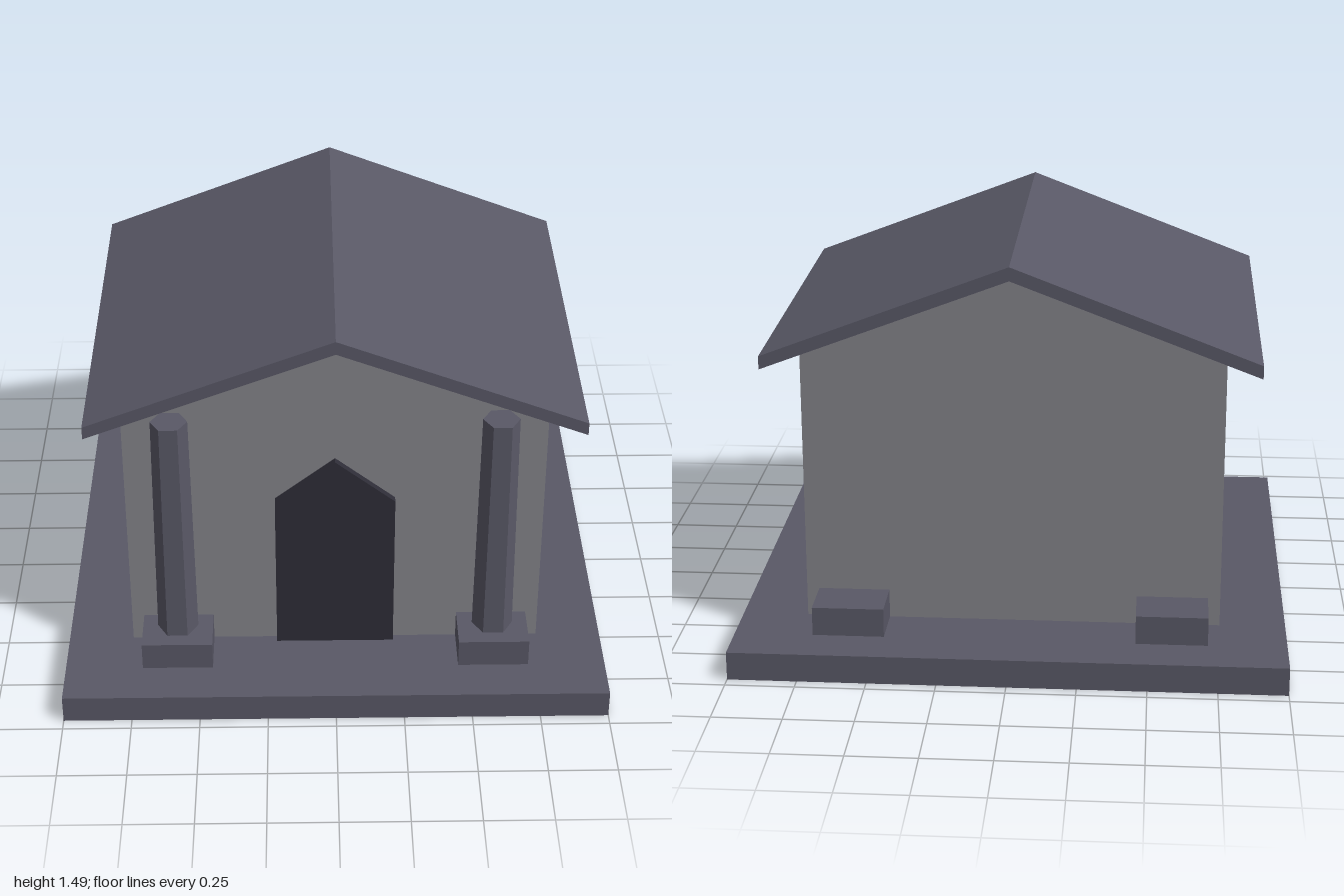
import * as THREE from 'three';

const mat = (name, color) => {
  const m = new THREE.MeshStandardMaterial({ color });
  m.name = name;
  return m;
};

// Extrudes an outline in x/y between two z positions
function prism(points, zBack, zFront) {
  const shape = new THREE.Shape(points.map(([x, y]) => new THREE.Vector2(x, y)));
  const g = new THREE.ExtrudeGeometry(shape, { depth: zFront - zBack, bevelEnabled: false });
  return g.translate(0, 0, zBack);
}

// Pentagonal gable outline: straight sides to the eave, then a pointed top
const gable = (halfWidth, bottom, eave, apex) => [
  [-halfWidth, bottom], [halfWidth, bottom], [halfWidth, eave], [0, apex], [-halfWidth, eave],
];

export function createModel() {
  const slate = mat('slate', 0x595866);
  const wallStone = mat('wall stone', 0x838389);
  const dark = mat('dark doorway', 0x2e2d37);

  const model = new THREE.Group();
  model.name = 'shrine';
  const add = (name, geometry, material, x = 0, y = 0, z = 0) => {
    const mesh = new THREE.Mesh(geometry, material);
    mesh.name = name;
    mesh.position.set(x, y, z);
    model.add(mesh);
    return mesh;
  };

  // Floor slab
  add('base', new THREE.BoxGeometry(2, 0.105, 1.91), slate, 0, 0.0525, 0);

  // Gabled hall and its pointed door
  add('walls', prism(gable(0.76, 0.105, 1.13, 1.433), -0.605, 0.605), wallStone);
  add('door', prism(gable(0.218, 0.105, 0.742, 0.915), 0.6, 0.633), dark);

  // Pitched roof of even thickness
  const roof = [[-0.88, 1.102], [0, 1.437], [0.88, 1.102], [0.88, 1.15], [0, 1.487], [-0.88, 1.15]];
  add('roof', prism(roof, -0.752, 0.752), slate);

  // Plinths at all four corners, tapered hexagonal columns at the front
  const plinth = new THREE.BoxGeometry(0.26, 0.107, 0.26);
  const column = new THREE.CylinderGeometry(0.066, 0.075, 0.905, 6, 1, false, Math.PI / 6).toNonIndexed();
  column.computeVertexNormals();
  for (const side of [-1, 1]) {
    const label = side > 0 ? 'left' : 'right';
    add(`${label}FrontPlinth`, plinth, slate, side * 0.585, 0.1585, 0.655);
    add(`${label}BackPlinth`, plinth, slate, side * 0.585, 0.1585, -0.655);
    add(`${label}Column`, column, slate, side * 0.585, 0.6625, 0.665);
  }
  return model;
}
